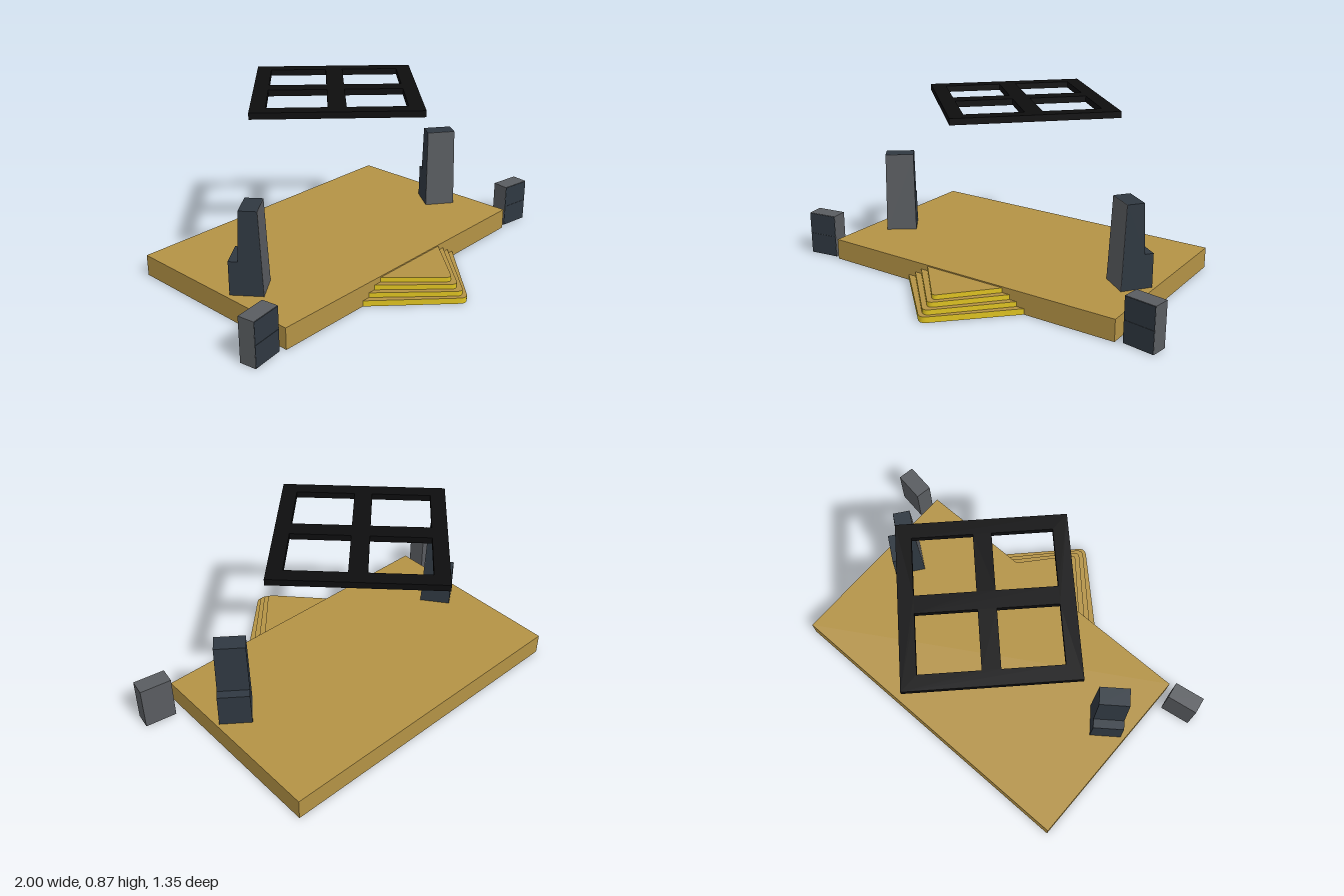
import * as THREE from 'three';

const mat = (name, color, side = THREE.FrontSide) => {
  const m = new THREE.MeshStandardMaterial({ color, side });
  m.name = name;
  return m;
};

export function createModel() {
  const model = new THREE.Group();
  model.name = 'concertStage';
  const wood = mat('tan wood', 0xb39245);
  const tread = mat('tan tread', 0xb39245, THREE.DoubleSide);
  const yellow = mat('yellow riser', 0xe0c422, THREE.DoubleSide);
  const black = mat('black metal', 0x0d0d0e);
  const navy = mat('dark navy', 0x2f3841);
  const grey = mat('grey', 0x595c60);
  const purple = mat('purple light', 0x9c4488);

  const add = (parent, name, geometry, material, x = 0, y = 0, z = 0) => {
    const mesh = new THREE.Mesh(geometry, material);
    mesh.name = name;
    mesh.position.set(x, y, z);
    parent.add(mesh);
    return mesh;
  };
  const box = (parent, name, w, h, d, material, x, y, z) =>
    add(parent, name, new THREE.BoxGeometry(w, h, d), material, x, y, z);

  // Stage deck
  box(model, 'stageDeck', 1.61, 0.106, 0.97, wood, -0.003, 0.053, -0.14);

  // Surface between two paths with equal point counts
  const strip = (a, b) => {
    const g = new THREE.BufferGeometry().setFromPoints([...a, ...b]);
    const n = a.length, index = [];
    for (let i = 0; i < n - 1; i++) index.push(i, i + 1, n + i + 1, i, n + i + 1, n + i);
    g.setIndex(index);
    g.computeVertexNormals();
    return g;
  };

  // Triangular front steps: open shells with a rounded nose
  const back = 0.345;
  const steps = [ // left, right, front, top
    [-0.33, 0.345, 0.682, 0.029],
    [-0.288, 0.305, 0.656, 0.053],
    [-0.25, 0.266, 0.622, 0.077],
    [-0.21, 0.226, 0.587, 0.1],
  ];
  const outline = ([l, r, front], y) => {
    const nose = new THREE.Vector3(0.014, y, front);
    const a = new THREE.Vector3(l, y, back), b = new THREE.Vector3(r, y, back);
    const curve = new THREE.QuadraticBezierCurve3(
      nose.clone().lerp(a, 0.08), nose, nose.clone().lerp(b, 0.08));
    return [a, ...curve.getPoints(6), b];
  };
  const stairs = new THREE.Group();
  stairs.name = 'frontSteps';
  model.add(stairs);
  steps.forEach((s, i) => {
    const bottom = i ? steps[i - 1][3] : 0;
    const edge = outline(s, s[3]);
    add(stairs, 'riser', strip(outline(s, bottom), edge), yellow);
    const inner = i < 3 ? outline(steps[i + 1], s[3])
      : edge.map(p => new THREE.Vector3(p.x, p.y, back));
    add(stairs, 'tread', strip(edge, inner), tread);
  });

  // Overhead lighting frame: a square with four openings
  const truss = new THREE.Group();
  truss.name = 'lightingFrame';
  truss.position.set(0, 0.84, -0.13);
  truss.rotation.y = Math.PI / 4;
  model.add(truss);
  const half = 0.389, bar = 0.071, mid = 0.084;
  const square = (s, x, y, w) => {
    s.moveTo(x, y); s.lineTo(x + w, y); s.lineTo(x + w, y + w); s.lineTo(x, y + w); s.closePath();
    return s;
  };
  const frame = square(new THREE.Shape(), -half, -half, half * 2);
  const hole = half - bar - mid / 2;
  for (const x of [-half + bar, mid / 2])
    for (const y of [-half + bar, mid / 2]) frame.holes.push(square(new THREE.Path(), x, y, hole));
  const frameGeo = new THREE.ExtrudeGeometry(frame, { depth: 0.03, bevelEnabled: false });
  frameGeo.rotateX(-Math.PI / 2);
  add(truss, 'frameBars', frameGeo, black);
  // Light strips under every bar
  const reach = half - bar / 2;
  for (const p of [-reach, 0, reach]) {
    box(truss, 'lightStrip', 0.022, 0.003, reach * 2, purple, p, -0.0005, 0);
    box(truss, 'lightStrip', reach * 2, 0.003, 0.022, purple, 0, -0.0008, p);
  }

  // Tall speaker: side profile with a low rear block, narrowing upward
  const profile = new THREE.Shape([
    [0.077, 0], [0.061, 0.407], [-0.022, 0.407], [-0.033, 0.165], [-0.077, 0.165], [-0.077, 0],
  ].reverse().map(([z, y]) => new THREE.Vector2(-z, y)).reverse());
  const w = 0.154;
  const speakerGeo = new THREE.ExtrudeGeometry(profile, { depth: w, bevelEnabled: false });
  speakerGeo.translate(0, 0, -w / 2);
  speakerGeo.rotateY(Math.PI / 2);
  const pos = speakerGeo.attributes.position;
  for (let i = 0; i < pos.count; i++) pos.setX(i, pos.getX(i) * (1 - 0.16 * pos.getY(i)));
  speakerGeo.computeVertexNormals();
  // Grille plate following the sloped front
  const grilleGeo = new THREE.BoxGeometry(w, 0.407, 0.003);
  const gp = grilleGeo.attributes.position;
  for (let i = 0; i < gp.count; i++) {
    const y = gp.getY(i) + 0.2035;
    gp.setXYZ(i, gp.getX(i) * (1 - 0.16 * y), y, gp.getZ(i) + 0.077 - 0.016 * y / 0.407);
  }
  grilleGeo.computeVertexNormals();

  for (const side of [-1, 1]) {
    const speaker = new THREE.Group();
    speaker.name = side > 0 ? 'leftSpeaker' : 'rightSpeaker';
    speaker.position.set(side * 0.68, 0.106, -0.02);
    speaker.rotation.y = -side * 0.645;
    model.add(speaker);
    add(speaker, 'speakerCabinet', speakerGeo, navy);
    add(speaker, 'speakerGrille', grilleGeo, grey);

    // Floor speaker beside the stage
    const sub = new THREE.Group();
    sub.name = side > 0 ? 'leftFloorSpeaker' : 'rightFloorSpeaker';
    sub.position.set(side * 0.917, 0, 0.303);
    sub.rotation.y = -side * 0.155;
    model.add(sub);
    box(sub, 'floorCabinet', 0.154, 0.22, 0.082, grey, 0, 0.11, 0);
    for (const y of [0.0555, 0.1645])
      box(sub, 'floorGrille', 0.152, 0.107, 0.004, navy, 0, y, 0.041);
  }
  return model;
}
